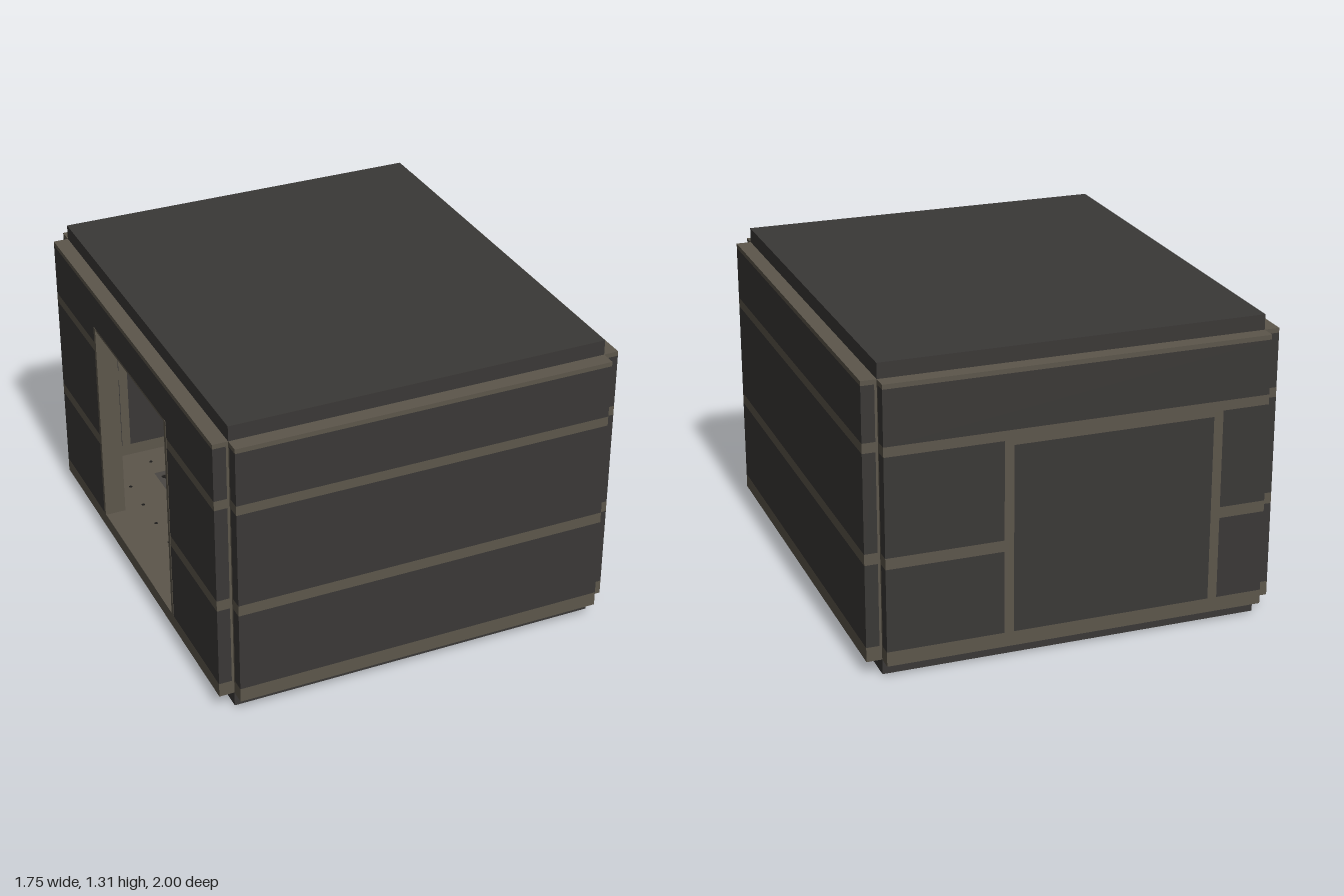
import * as THREE from 'three';

const dark = new THREE.MeshStandardMaterial({ color: 0x3a3836 });
const brown = new THREE.MeshStandardMaterial({ color: 0x5c564b });
const grateMat = new THREE.MeshStandardMaterial({ color: 0x4a4743 });
const black = new THREE.MeshStandardMaterial({ color: 0x1c1b1a });

const HX = 0.81, HZ = 0.935, T = 0.065, SLAB = 0.065, H = 1.31;

// Rows of a wall: bottom, top, material
const ROWS = [
  [0.065, 0.127, brown], [0.127, 0.482, dark], [0.482, 0.53, brown], [0.53, 0.95, dark],
  [0.95, 0.992, brown], [0.992, 1.225, dark], [1.225, 1.245, brown],
];

// Box given by its limits on each axis
function box(parent, name, mat, x0, x1, y0, y1, z0, z1) {
  const mesh = new THREE.Mesh(new THREE.BoxGeometry(x1 - x0, y1 - y0, z1 - z0), mat);
  mesh.position.set((x0 + x1) / 2, (y0 + y1) / 2, (z0 + z1) / 2);
  mesh.name = name;
  parent.add(mesh);
}

// Rectangle minus an opening, as up to four rectangles
function cut(r, o) {
  if (!o || o.x1 <= r[0] || o.x0 >= r[1] || o.y1 <= r[2] || o.y0 >= r[3]) return [r];
  const lo = Math.max(r[2], o.y0), hi = Math.min(r[3], o.y1);
  return [
    [r[0], o.x0, lo, hi], [o.x1, r[1], lo, hi], [r[0], r[1], r[2], lo], [r[0], r[1], hi, r[3]],
  ].filter((q) => q[1] - q[0] > 1e-4 && q[3] - q[2] > 1e-4);
}

// One layer of wall rows, z0 inner face, z1 outer face
function wallLayer(wall, half, opening, z0, z1) {
  for (const [y0, y1, mat] of ROWS) {
    for (const r of cut([-half, half, y0, y1], opening)) {
      box(wall, mat === brown ? 'wallBand' : 'wallPanel', mat, ...r, z0, z1);
    }
  }
}

// Closed door: trim strips around a dark leaf
function closedDoor(wall, o, z0, z1) {
  const s = 0.04, h = 0.022;
  box(wall, 'doorPost', brown, o.x0, o.x0 + s, o.y0, o.y1, z0, z1);
  box(wall, 'doorPost', brown, o.x1 - s, o.x1, o.y0, o.y1, z0, z1);
  box(wall, 'doorHeader', brown, o.x0 + s, o.x1 - s, o.y1 - h, o.y1, z0, z1);
  box(wall, 'doorLeaf', dark, o.x0 + s, o.x1 - s, o.y0, o.y1 - h, z0, z1);
}

// Wall in its own frame: +z is outward, inner face at z = 0
function makeWall(name, half, { outer, inner, doorway }) {
  const wall = new THREE.Group();
  wall.name = name;
  const skin = 0.01;
  wallLayer(wall, half, doorway || outer, skin, T);
  wallLayer(wall, half - 0.03, doorway || inner, 0, skin);
  for (const s of [-1, 1]) {
    const a = s * half, b = s * (half - 0.03);
    box(wall, 'cornerStrip', brown, Math.min(a, b), Math.max(a, b), SLAB, 1.245, 0, skin);
  }
  if (outer) closedDoor(wall, outer, skin, T);
  if (inner) closedDoor(wall, inner, 0, skin);
  if (doorway) {
    // Lining of the open doorway
    const { x0, x1, y0, y1 } = doorway, j = 0.02;
    box(wall, 'doorJamb', brown, x0, x0 + j, y0, y1, -0.025, T + 0.002);
    box(wall, 'doorJamb', brown, x1 - j, x1, y0, y1, -0.025, T + 0.002);
    box(wall, 'doorHeader', brown, x0 + j, x1 - j, y1 - 0.01, y1, 0, T);
  }
  return wall;
}

// Brown border around a middle panel
function makeBorder(parent, name, y0, y1, gx, gz) {
  const bx = HX - 0.002, bz = HZ - 0.002;
  for (const s of [-1, 1]) {
    box(parent, name, brown, s < 0 ? -bx : gx, s < 0 ? -gx : bx, y0, y1, -bz, bz);
    box(parent, name, brown, -gx, gx, y0, y1, s < 0 ? -bz : gz, s < 0 ? -gz : bz);
  }
}

function makeFloor() {
  const floor = new THREE.Group();
  floor.name = 'floor';
  const gx = 0.53, gz = 0.73, top = SLAB + 0.008;
  box(floor, 'floorSlab', dark, -HX, HX, 0, SLAB, -HZ, HZ);
  makeBorder(floor, 'floorBorder', SLAB, top, gx, gz);
  box(floor, 'grateBacking', black, -gx, gx, SLAB, SLAB + 0.001, -gz, gz);

  // Grate with staggered round holes
  const plate = new THREE.Shape();
  plate.moveTo(-gx, -gz).lineTo(gx, -gz).lineTo(gx, gz).lineTo(-gx, gz).closePath();
  const pitch = 0.07;
  for (let row = -10; row <= 10; row++) {
    const shift = row % 2 ? pitch / 2 : 0;
    for (let col = -7; col <= 7; col++) {
      const x = col * pitch + shift;
      if (Math.abs(x) > gx - 0.03) continue;
      const hole = new THREE.Path();
      hole.absarc(x, row * pitch * 0.98, 0.02, 0, Math.PI * 2, true);
      plate.holes.push(hole);
    }
  }
  const geo = new THREE.ExtrudeGeometry(plate, { depth: 0.006, bevelEnabled: false, curveSegments: 8 });
  const grate = new THREE.Mesh(geo.rotateX(-Math.PI / 2), grateMat);
  grate.position.y = SLAB + 0.001;
  grate.name = 'floorGrate';
  floor.add(grate);

  // Rivets along the border
  const rivetGeo = new THREE.CylinderGeometry(0.008, 0.008, 0.003, 8);
  const rivet = (x, z) => {
    const m = new THREE.Mesh(rivetGeo, black);
    m.position.set(x, top, z);
    m.name = 'rivet';
    floor.add(m);
  };
  for (const s of [-1, 1]) {
    for (let i = -3; i <= 3; i++) rivet(i * 0.17, s * 0.83);
    for (let i = -5; i <= 5; i++) rivet(s * 0.67, i * 0.166);
  }
  return floor;
}

export function createModel() {
  const model = new THREE.Group();
  model.name = 'room';
  model.add(makeFloor());

  // Roof slab and ceiling border
  const roof = new THREE.Group();
  roof.name = 'roof';
  box(roof, 'roofSlab', dark, -HX, HX, H - SLAB, H, -HZ, HZ);
  makeBorder(roof, 'ceilingBorder', H - SLAB - 0.008, H - SLAB, 0.53, 0.73);
  model.add(roof);

  // Four walls, each turned to face outward
  const front = makeWall('frontWall', HX, { inner: { x0: -0.185, x1: 0.68, y0: 0.127, y1: 0.95 } });
  front.position.z = HZ;

  const back = makeWall('backWall', HX, {
    outer: { x0: -0.32, x1: 0.61, y0: 0.127, y1: 0.95 },
    inner: { x0: -0.32, x1: 0.61, y0: 0.127, y1: 0.95 },
  });
  back.rotation.y = Math.PI;
  back.position.z = -HZ;

  const left = makeWall('leftWall', HZ, {});
  left.rotation.y = Math.PI / 2;
  left.position.x = HX;

  const right = makeWall('rightWall', HZ, { doorway: { x0: -0.43, x1: 0.43, y0: 0.127, y1: 1.07 } });
  right.rotation.y = -Math.PI / 2;
  right.position.x = -HX;

  model.add(front, back, left, right);
  return model;
}
